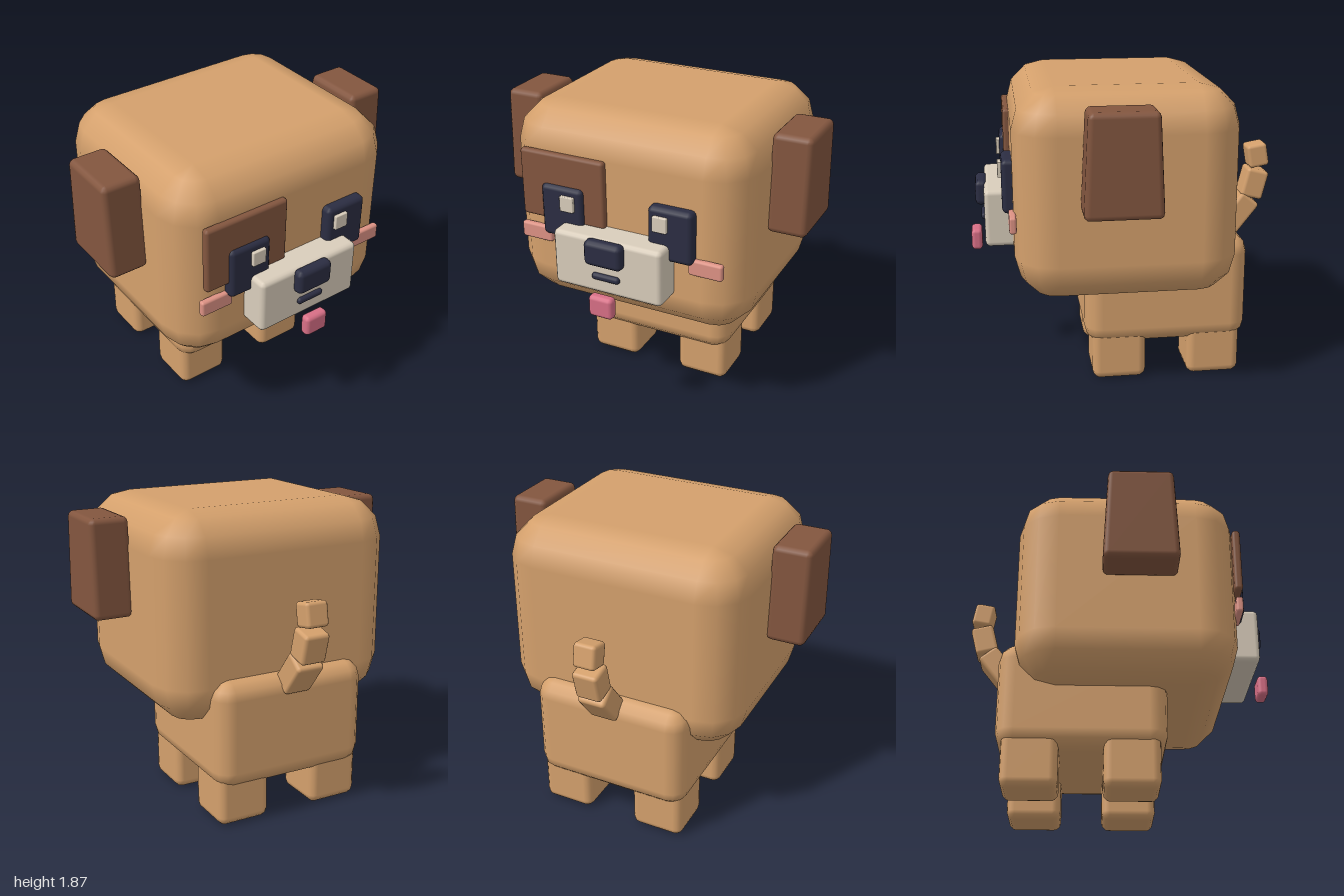
import * as THREE from 'three';

const mat = (name, color) => {
  const m = new THREE.MeshStandardMaterial({ color });
  m.name = name;
  return m;
};

// Box from min/max corners with rounded edges (three steps per quarter turn).
function roundedBox(w, h, d, r) {
  const steps = 3, pos = [], nor = [], idx = [];
  const rows = [[90, 0, 1]];
  for (const s of [1, -1])
    for (let i = 0; i <= steps; i++)
      rows.push([s > 0 ? 90 - (i * 90) / steps : -(i * 90) / steps, 1, s]);
  rows.push([-90, 0, -1]);
  const cols = [];
  for (let q = 0; q < 4; q++)
    for (let i = 0; i <= steps; i++)
      cols.push([q * 90 + (i * 90) / steps, q === 0 || q === 3 ? 1 : -1, q < 2 ? 1 : -1]);
  cols.push([360, 1, 1]);
  for (const [lat, spread, sy] of rows) {
    for (const [lon, sx, sz] of cols) {
      const a = THREE.MathUtils.degToRad(lat), b = THREE.MathUtils.degToRad(lon);
      const n = [Math.cos(a) * Math.cos(b), Math.sin(a), Math.cos(a) * Math.sin(b)];
      nor.push(...n);
      pos.push(
        spread * sx * (w / 2 - r) + n[0] * r,
        sy * (h / 2 - r) + n[1] * r,
        spread * sz * (d / 2 - r) + n[2] * r
      );
    }
  }
  const c = cols.length;
  for (let i = 0; i < rows.length - 1; i++)
    for (let j = 0; j < c - 1; j++) {
      const a = i * c + j;
      idx.push(a, a + 1, a + c + 1, a, a + c + 1, a + c);
    }
  const g = new THREE.BufferGeometry();
  g.setAttribute('position', new THREE.Float32BufferAttribute(pos, 3));
  g.setAttribute('normal', new THREE.Float32BufferAttribute(nor, 3));
  g.setIndex(idx);
  return g;
}

export function createModel() {
  const model = new THREE.Group();
  model.name = 'puppy';
  const tan = mat('tan fur', 0xd4a06c);
  const brown = mat('brown fur', 0x83563f);
  const navy = mat('dark navy', 0x2b2d42);
  const cream = mat('cream', 0xd9cdbb);
  const rose = mat('tongue pink', 0xd86f86);
  const blush = mat('blush pink', 0xdd9284);

  const add = (name, material, [x0, x1], [y0, y1], [z0, z1], r) => {
    const mesh = new THREE.Mesh(roundedBox(x1 - x0, y1 - y0, z1 - z0, r), material);
    mesh.position.set((x0 + x1) / 2, (y0 + y1) / 2, (z0 + z1) / 2);
    mesh.name = name;
    model.add(mesh);
    return mesh;
  };

  // Head and body
  add('head', tan, [-0.77, 0.77], [0.615, 1.875], [-0.63, 0.705], 0.25);
  add('body', tan, [-0.505, 0.505], [0.24, 0.91], [-0.73, 0.285], 0.11);

  // Paired parts
  for (const s of [-1, 1]) {
    const side = s > 0 ? 'left' : 'right';
    const span = (a, b) => (s > 0 ? [a, b] : [-b, -a]);
    add(side + 'FrontLeg', tan, span(0.15, 0.485), [0.005, 0.335], [-0.095, 0.24], 0.05);
    add(side + 'BackLeg', tan, span(0.15, 0.485), [0.005, 0.335], [-0.69, -0.355], 0.05);

    // Ear, narrowing towards the top
    const ear = add(side + 'Ear', brown, span(0.757, 1), [1.205, 1.805], [-0.115, 0.335], 0.035);
    const p = ear.geometry.attributes.position;
    for (let i = 0; i < p.count; i++)
      p.setZ(i, p.getZ(i) * (1 - 0.13 * (p.getY(i) / 0.6 + 0.5)));

    add(side + 'Eye', navy, span(0.21, 0.488), [1.115, 1.442], [0.66, 0.767], 0.03);
    add(side + 'Cheek', blush, span(0.45, 0.66), [1.045, 1.145], [0.69, 0.733], 0.015);
  }
  add('rightEyeGlint', cream, [-0.35, -0.26], [1.3, 1.395], [0.74, 0.788], 0.006);
  add('leftEyeGlint', cream, [0.25, 0.34], [1.3, 1.395], [0.74, 0.788], 0.006);
  add('eyePatch', brown, [-0.635, -0.08], [1.21, 1.63], [0.69, 0.742], 0.02);

  // Muzzle
  add('snout', cream, [-0.35, 0.35], [0.87, 1.222], [0.62, 0.873], 0.03);
  add('nose', navy, [-0.122, 0.122], [1.067, 1.225], [0.85, 0.928], 0.032);
  add('mouth', navy, [-0.09, 0.09], [0.965, 1.007], [0.855, 0.896], 0.018);
  add('tongue', rose, [-0.078, 0.078], [0.76, 0.895], [0.895, 0.963], 0.025);

  // Tail: width, length, depth, y, z, tilt in degrees
  const tail = [
    [0.18, 0.25, 0.145, 0.935, -0.765, -38],
    [0.165, 0.19, 0.145, 1.128, -0.865, -14],
    [0.145, 0.15, 0.13, 1.314, -0.882, 10],
  ];
  tail.forEach(([w, h, d, y, z, tilt], i) => {
    const seg = new THREE.Mesh(roundedBox(w, h, d, 0.022), tan);
    seg.position.set(0, y, z);
    seg.rotation.x = THREE.MathUtils.degToRad(tilt);
    seg.name = 'tailSegment' + (i + 1);
    model.add(seg);
  });

  return model;
}
